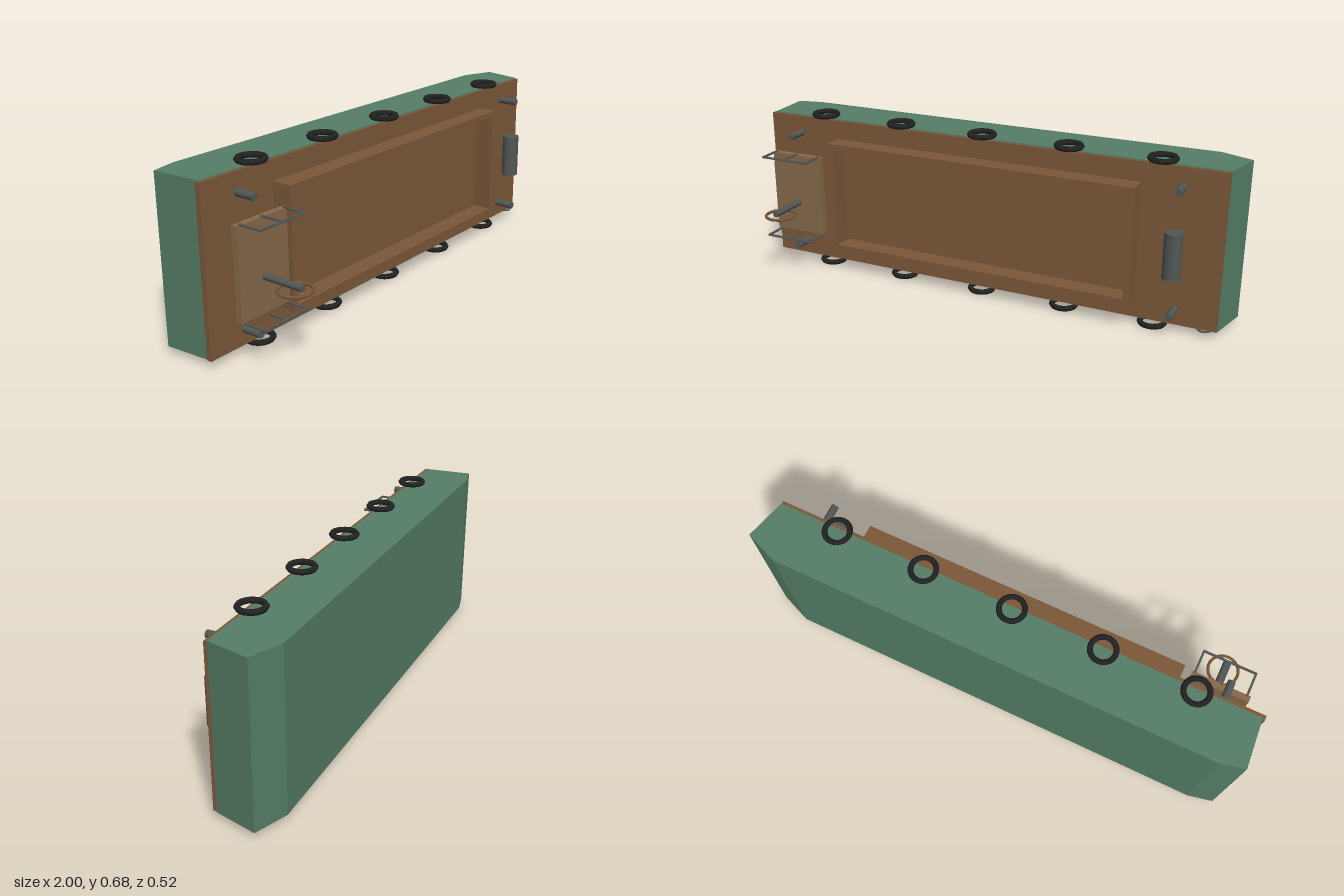
import * as THREE from 'three';

const mat = (color) => new THREE.MeshStandardMaterial({ color });

export function createModel() {
  const group = new THREE.Group();
  const green = mat(0x557d66), brown = mat(0x7b5739), tan = mat(0x86694a);
  const steel = mat(0x525755), rubber = mat(0x222222);

  const add = (name, geometry, material, x, y, z) => {
    const mesh = new THREE.Mesh(geometry, material);
    mesh.name = name;
    mesh.position.set(x, y, z);
    group.add(mesh);
    return mesh;
  };
  // box given by its limits on each axis
  const box = (name, material, x0, x1, y0, y1, z0, z1) =>
    add(name, new THREE.BoxGeometry(x1 - x0, y1 - y0, z1 - z0), material,
      (x0 + x1) / 2, (y0 + y1) / 2, (z0 + z1) / 2);
  // cylinder along z
  const rod = (name, radius, x, y, z0, z1) =>
    add(name, new THREE.CylinderGeometry(radius, radius, z1 - z0, 12).rotateX(Math.PI / 2),
      steel, x, y, (z0 + z1) / 2);

  // hull: side profile (x, -z) extruded across the beam
  const profile = [[-0.985, 0.045], [0.957, 0.045], [1, 0.21], [0.87, 0.262], [-0.9, 0.262], [-1, 0.24]];
  const hullShape = new THREE.Shape(profile.map(([x, y]) => new THREE.Vector2(x, y)));
  const hullGeometry = new THREE.ExtrudeGeometry(hullShape, { depth: 0.631, bevelEnabled: false });
  add('hull', hullGeometry.rotateX(-Math.PI / 2), green, 0, 0.024, 0);

  // deck
  box('deck', brown, -0.995, 0.957, 0.028, 0.652, -0.053, -0.032);

  // raised frame around the cargo hold
  const rectangle = (Type, x0, x1, y0, y1) => new Type([
    new THREE.Vector2(x0, y0), new THREE.Vector2(x1, y0),
    new THREE.Vector2(x1, y1), new THREE.Vector2(x0, y1)]);
  const frame = rectangle(THREE.Shape, -0.67, 0.637, 0.107, 0.574);
  frame.holes.push(rectangle(THREE.Path, -0.646, 0.612, 0.13, 0.551));
  add('holdCoaming', new THREE.ExtrudeGeometry(frame, { depth: 0.081, bevelEnabled: false }),
    brown, 0, 0, -0.034);

  // steering platform with a guard rail on each side
  box('platform', tan, -0.935, -0.706, 0.17, 0.51, 0.036, 0.062);
  for (const y of [0.1665, 0.5125]) {
    const y0 = y - 0.0035, y1 = y + 0.0035;
    for (const x of [-0.921, -0.82, -0.714])
      box('railPost', steel, x - 0.004, x + 0.004, y0, y1, 0.057, 0.155);
    box('railBar', steel, -0.925, -0.71, y0, y1, 0.147, 0.155);
  }

  // steering column and wheel
  rod('steeringColumn', 0.0125, -0.82, 0.301, 0.045, 0.23);
  add('steeringWheel', new THREE.TorusGeometry(0.06, 0.006, 6, 24).rotateX(Math.PI / 2),
    brown, -0.82, 0.287, 0.196);

  // bollards
  for (const x of [-0.845, 0.795])
    for (const y of [0.096, 0.584]) rod('bollard', 0.0145, x, y, -0.023, 0.058);

  // windlass drum
  add('windlass', new THREE.CylinderGeometry(0.035, 0.035, 0.179, 16), steel, 0.788, 0.3385, 0.042);

  // tyre fenders along both sides
  for (const x of [-0.74, -0.38, -0.018, 0.343, 0.705])
    for (const y of [0.0105, 0.667])
      add('tyreFender', new THREE.TorusGeometry(0.048, 0.011, 6, 20).rotateX(Math.PI / 2),
        rubber, x, y, -0.059);

  // small mooring ring under the bow edge
  add('mooringRing', new THREE.TorusGeometry(0.026, 0.004, 6, 16).rotateX(Math.PI / 2),
    steel, 0.908, 0.026, -0.048);

  return group;
}
